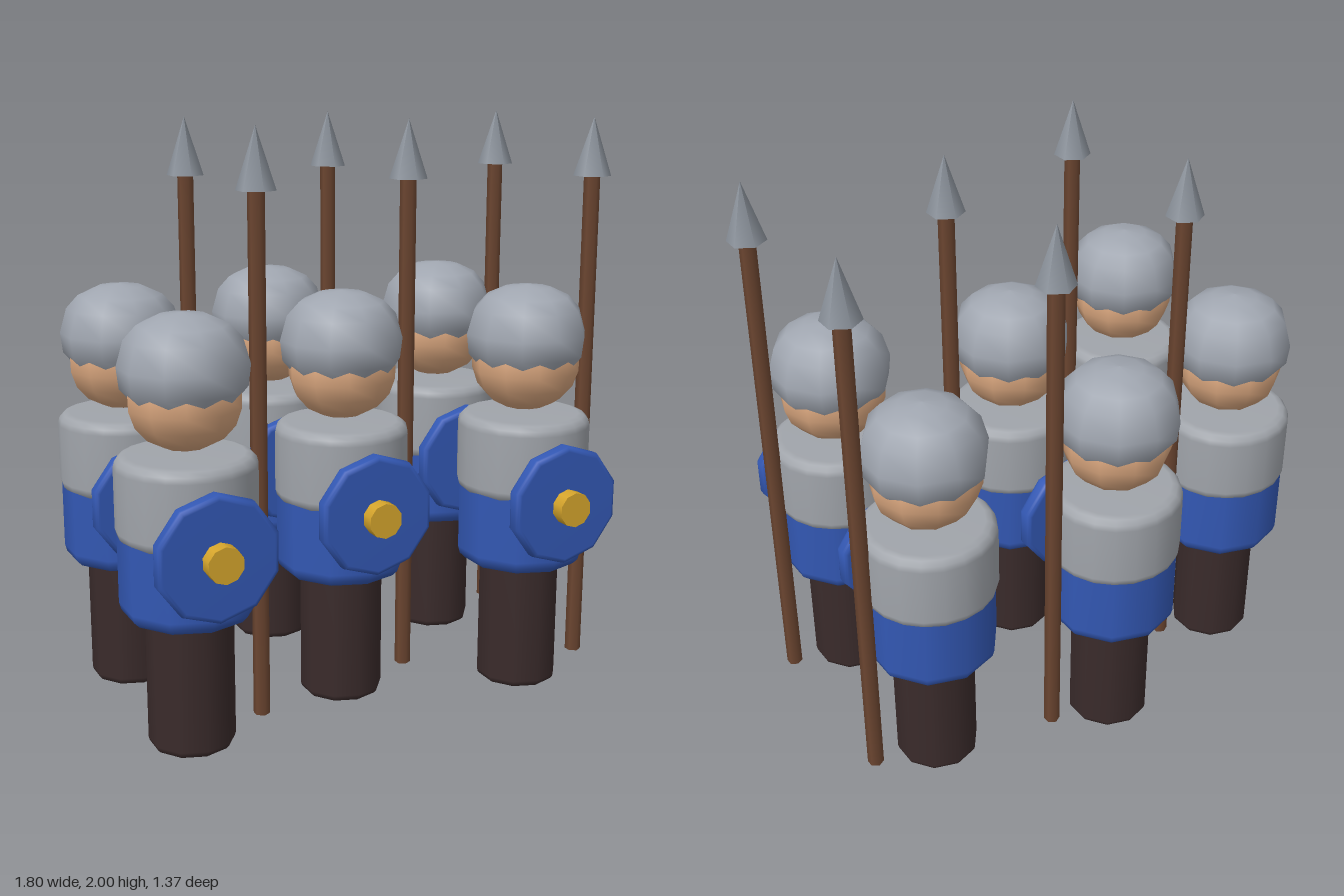
import * as THREE from 'three';

const paint = (name, color) => {
  const m = new THREE.MeshStandardMaterial({ color });
  m.name = name;
  return m;
};

// Lathe from [radius, height] pairs listed bottom to top
const lathe = (points, sides, turn = 0) =>
  new THREE.LatheGeometry(points.map(([r, y]) => new THREE.Vector2(r, y)), sides, turn);

// Solid drum with rounded rims
function drum(r, y0, y1, bevel, sides) {
  const pts = [[0, y0], [r - bevel, y0]];
  const steps = 3;
  for (let i = 0; i <= steps; i++) {
    const a = (i / steps) * Math.PI / 2;
    pts.push([r - bevel + bevel * Math.sin(a), y0 + bevel - bevel * Math.cos(a)]);
  }
  for (let i = 0; i <= steps; i++) {
    const a = (i / steps) * Math.PI / 2;
    pts.push([r - bevel + bevel * Math.cos(a), y1 - bevel + bevel * Math.sin(a)]);
  }
  pts.push([0, y1]);
  // drop repeated points
  return lathe(pts.filter((p, i) => !i || Math.hypot(p[0] - pts[i - 1][0], p[1] - pts[i - 1][1]) > 1e-5), sides);
}

export function createModel() {
  const steel = paint('helmet steel', 0xa0a6b0);
  const mail = paint('mail grey', 0xa0a4aa);
  const blue = paint('tunic blue', 0x3358b4);
  const skin = paint('skin', 0xd9a67e);
  const dark = paint('trouser brown', 0x3a2b2b);
  const wood = paint('shaft wood', 0x6b4530);
  const gold = paint('boss gold', 0xd6a52c);
  const iron = paint('spear iron', 0x8c939c);

  const half = Math.PI / 10;
  const shield = drum(0.208, 0, 0.06, 0.018, 10).rotateX(Math.PI / 2).translate(0, 0.72, 0.225);
  const boss = new THREE.CylinderGeometry(0.06, 0.06, 0.07, 10).rotateX(Math.PI / 2).translate(0, 0.72, 0.3);

  // Parts of one soldier, shared by the whole squad
  const parts = [
    ['legs', drum(0.144, 0, 0.5, 0.025, 10), dark],
    ['tunic', drum(0.225, 0.45, 0.975, 0.05, 10), blue],
    ['mailCape', drum(0.23, 0.71, 0.99, 0.04, 20), mail],
    ['head', lathe([[0, 1.0], [0.07, 1.012], [0.125, 1.04], [0.165, 1.085], [0.184, 1.14], [0.186, 1.2], [0.16, 1.28]], 10, half), skin],
    ['helmet', lathe([[0.15, 1.14], [0.202, 1.2], [0.21, 1.27], [0.186, 1.355], [0.145, 1.4], [0.08, 1.43], [0, 1.44]], 10), steel],
    ['shield', shield, blue],
    ['shieldBoss', boss, gold],
    ['spearShaft', new THREE.CylinderGeometry(0.028, 0.028, 1.76, 6).translate(0.25, 0.93, 0), wood],
    ['spearHead', new THREE.ConeGeometry(0.065, 0.2, 6).translate(0.25, 1.9, 0), iron],
  ];

  // Two staggered ranks of three
  const model = new THREE.Group();
  model.name = 'spearSquad';
  for (const z of [0.34, -0.29]) {
    [-0.67, -0.04, 0.59].forEach((x, column) => {
      const soldier = new THREE.Group();
      soldier.name = 'soldier';
      for (const [name, geometry, material] of parts) {
        const mesh = new THREE.Mesh(geometry, material);
        mesh.name = name;
        soldier.add(mesh);
      }
      soldier.position.set(x, 0, column === 1 ? z - 0.17 : z);
      model.add(soldier);
    });
  }
  return model;
}
